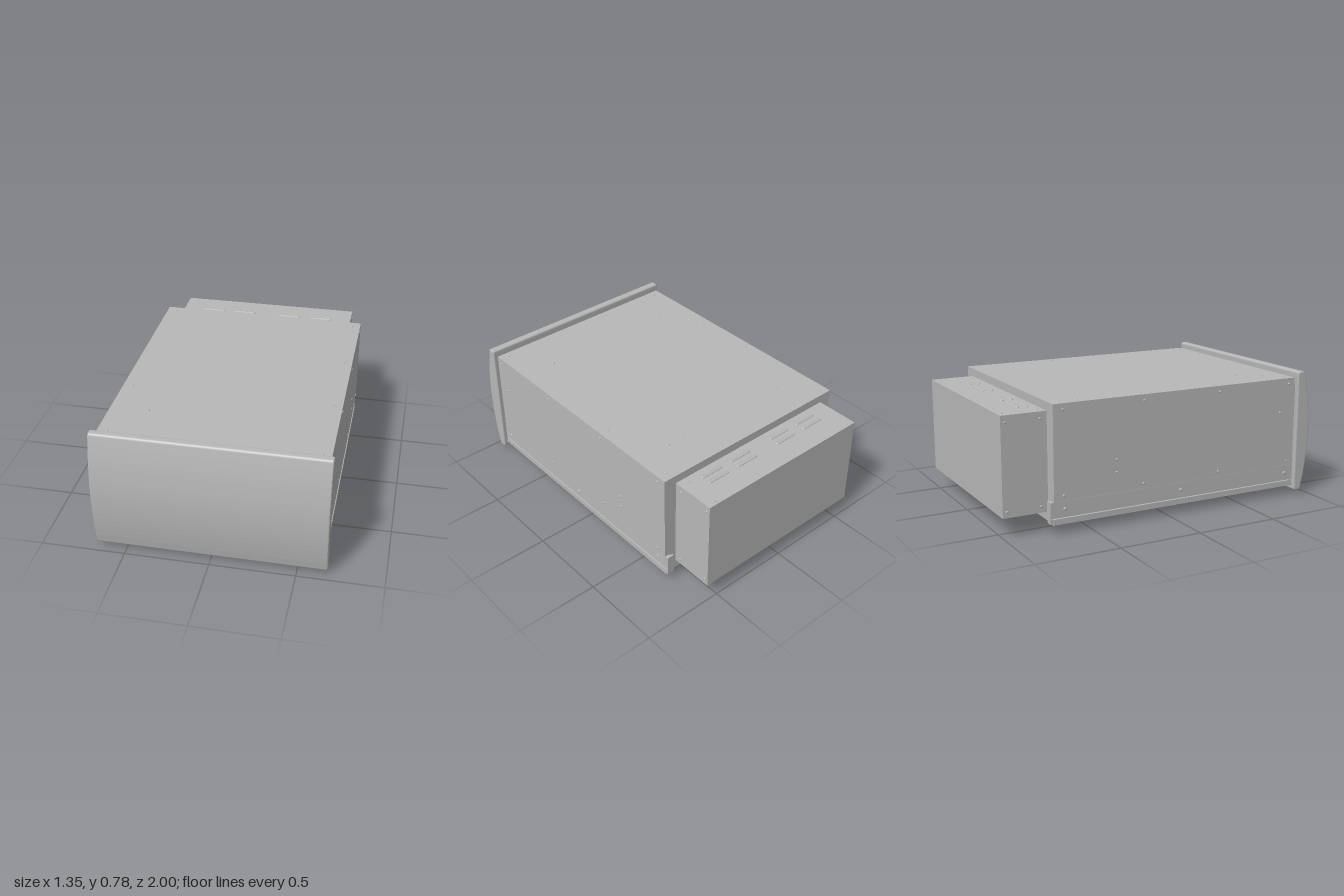
import * as THREE from 'three';

export function createModel() {
  const model = new THREE.Group();
  const grey = new THREE.MeshStandardMaterial({ color: 0xb8b8b8 });
  grey.name = 'satin grey';

  const add = (name, geometry, parent = model) => {
    const mesh = new THREE.Mesh(geometry, grey);
    mesh.name = name;
    parent.add(mesh);
    return mesh;
  };
  // Box given by its limits on each axis
  const box = (name, [x0, x1], [y0, y1], [z0, z1], parent) => {
    const mesh = add(name, new THREE.BoxGeometry(x1 - x0, y1 - y0, z1 - z0), parent);
    mesh.position.set((x0 + x1) / 2, (y0 + y1) / 2, (z0 + z1) / 2);
    return mesh;
  };
  // Side profile in (z, y), extruded along x between x0 and x1
  const extrudeX = (name, shape, x0, x1, bevel = 0) => {
    const g = new THREE.ExtrudeGeometry(shape, {
      depth: x1 - x0 - 2 * bevel, curveSegments: 16,
      bevelEnabled: bevel > 0, bevelSize: bevel, bevelThickness: bevel, bevelOffset: -bevel, bevelSegments: 3,
    });
    g.rotateY(-Math.PI / 2);
    g.scale(1, 1, 1);
    g.translate(x1 - bevel, 0, 0);
    return add(name, g);
  };

  // Bowed front panel with rounded rim
  const panel = new THREE.Shape();
  panel.moveTo(0.905, 0.04);
  panel.quadraticCurveTo(0.905, 0.025, 0.92, 0.025);
  panel.lineTo(0.94, 0.025);
  panel.quadraticCurveTo(0.955, 0.025, 0.958, 0.045);
  panel.quadraticCurveTo(1.042, 0.401, 0.958, 0.757);
  panel.quadraticCurveTo(0.955, 0.777, 0.94, 0.777);
  panel.lineTo(0.92, 0.777);
  panel.quadraticCurveTo(0.905, 0.777, 0.905, 0.762);
  panel.closePath();
  extrudeX('frontPanel', panel, -0.675, 0.675, 0.008);

  // Main housing, its inner front frame and floor tray
  box('housing', [-0.655, 0.655], [0.19, 0.74], [-0.73, 0.89]);
  box('frontFrame', [-0.645, 0.645], [0.06, 0.70], [0.88, 0.91]);
  box('floorTray', [-0.63, 0.63], [0.06, 0.2], [-0.73, 0.9]);

  // Mounting rails with a lower lip and rear tab
  for (const s of [-1, 1]) {
    const rail = new THREE.Group();
    rail.name = s > 0 ? 'leftRail' : 'rightRail';
    model.add(rail);
    const span = (a, b) => (s > 0 ? [a, b] : [-b, -a]);
    box('railFace', span(0.62, 0.648), [0.095, 0.187], [-0.745, 0.906], rail);
    box('railGroove', span(0.62, 0.638), [0.088, 0.096], [-0.73, 0.9], rail);
    box('railLip', span(0.625, 0.652), [0.055, 0.089], [-0.735, 0.9], rail);
    box('railTab', span(0.605, 0.65), [0.065, 0.187], [-0.75, -0.738], rail);
    box('railFoot', span(0.62, 0.65), [0.062, 0.09], [-0.75, -0.73], rail);
  }

  // Rear compartment
  box('rearBox', [-0.575, 0.575], [0.115, 0.69], [-1, -0.72]);

  // Louvres above and below the rear compartment
  const louvre = new THREE.CapsuleGeometry(0.011, 0.13, 4, 10).rotateZ(Math.PI / 2);
  for (const y of [0.69, 0.115])
    for (const z of [-0.845, -0.79])
      for (const x of [-0.37, -0.155, 0.155, 0.37]) {
        const m = add('louvre', louvre);
        m.position.set(x, y, z);
        m.scale.y = 0.75;
      }

  // Domed screw heads, axis along the given normal
  const head = new THREE.SphereGeometry(1, 12, 4, 0, Math.PI * 2, 0, Math.PI / 2);
  const up = new THREE.Vector3(0, 1, 0);
  const screw = (x, y, z, normal, r = 0.008) => {
    const m = add('screw', head);
    m.position.set(x, y, z);
    m.quaternion.setFromUnitVectors(up, new THREE.Vector3(...normal));
    m.scale.set(r, 0.006, r);
  };
  for (const s of [-1, 1]) {
    const n = [s, 0, 0];
    for (const z of [0.85, 0.345, -0.165, -0.67]) {
      screw(s * 0.655, 0.705, z, n);
      screw(s * 0.655, 0.22, z, n);
      screw(s * 0.6, 0.74, z, [0, 1, 0]);
    }
    for (const [y, z] of [[0.53, 0.79], [0.385, -0.34], [0.31, -0.34]]) screw(s * 0.655, y, z, n);
    for (const z of [0.845, 0.09, -0.66]) screw(s * 0.648, 0.14, z, n, 0.012);
    for (const z of [-0.77, -0.975]) {
      for (const y of [0.65, 0.15]) screw(s * 0.575, y, z, n);
      screw(s * 0.52, 0.69, z, [0, 1, 0]);
    }
  }
  for (const [x, z] of [[-0.43, -0.5], [0.32, -0.5], [0.43, -0.5], [-0.43, 0.6], [0.43, 0.6]])
    screw(x, 0.74, z, [0, 1, 0]);
  for (const [x, z] of [[0.52, -0.14], [0.53, -0.39], [0.53, 0.1], [-0.52, 0.8], [-0.52, 0.7], [-0.41, 0.47],
    [-0.41, 0.31], [0.13, 0.36], [0.13, 0.3], [-0.3, 0.6], [-0.52, -0.3], [-0.3, -0.17]])
    screw(x, 0.06, z, [0, -1, 0]);

  // Underside latch: base plate and bent pull strip
  box('latchPlate', [-0.485, -0.4], [0.045, 0.062], [0.02, 0.1]);
  box('latchTongue', [-0.465, -0.42], [0.035, 0.047], [0.03, 0.125]);
  const strip = new THREE.Shape([
    [0.08, 0.04], [0.06, 0.028], [0.05, 0.004], [0.04, 0], [-0.058, 0], [-0.064, 0.006], [-0.073, 0.06],
    [-0.065, 0.06], [-0.057, 0.007], [0.038, 0.007], [0.045, 0.01], [0.053, 0.034], [0.07, 0.046],
  ].map(([z, y]) => new THREE.Vector2(z, y)));
  extrudeX('latchPull', strip, -0.46, -0.425);

  return model;
}
